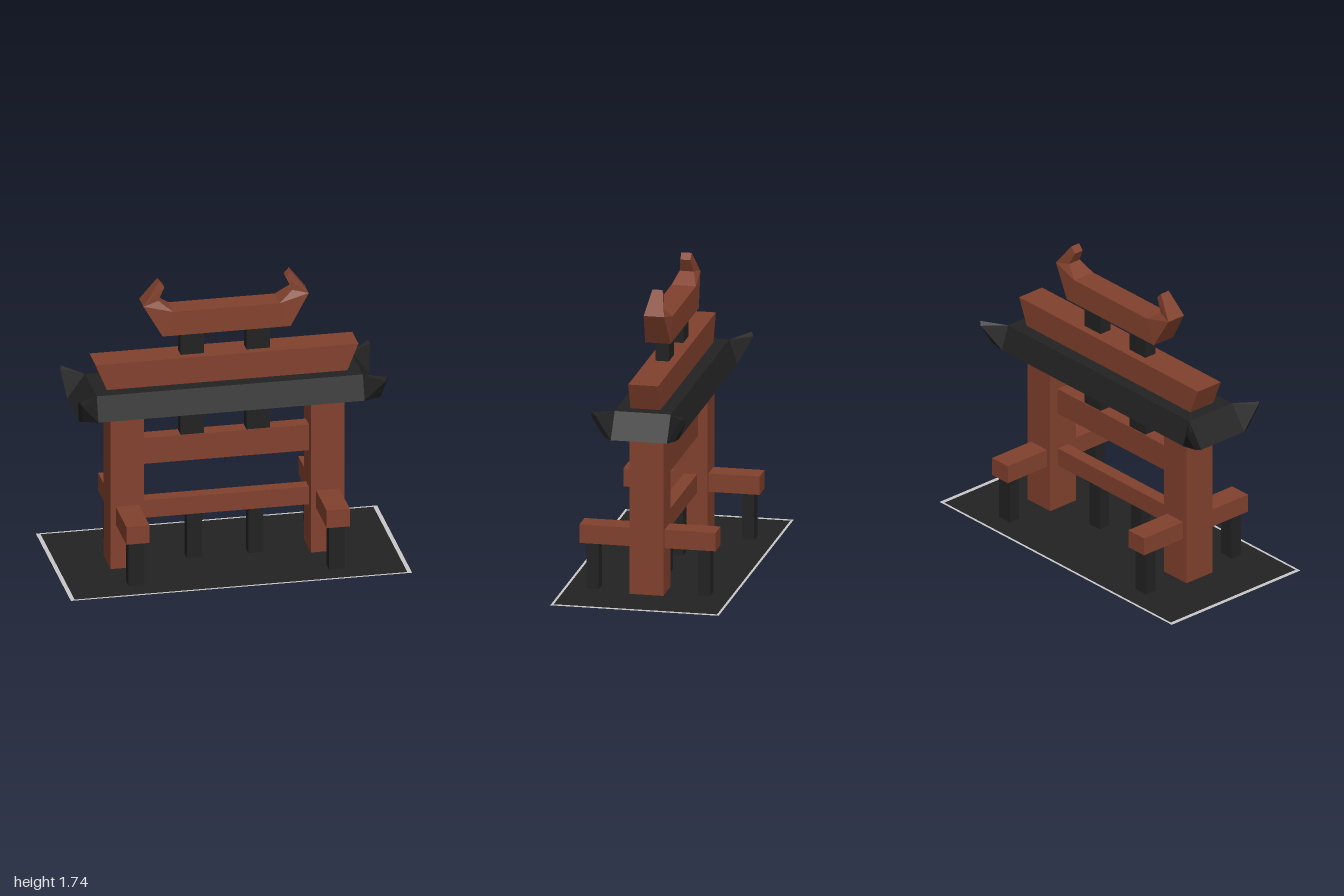
import * as THREE from 'three';
import { ConvexGeometry } from 'three/addons/geometries/ConvexGeometry.js';

export function createModel() {
  const group = new THREE.Group();
  const mat = (name, color, side = THREE.FrontSide) => {
    const m = new THREE.MeshStandardMaterial({ color, side, flatShading: true });
    m.name = name;
    return m;
  };
  const red = mat('red wood', 0x82412d);
  const black = mat('black', 0x222222, THREE.DoubleSide);
  const grey = mat('light grey', 0xc8c8c8, THREE.DoubleSide);

  const add = (name, geometry, material) => {
    const mesh = new THREE.Mesh(geometry, material);
    mesh.name = name;
    group.add(mesh);
    return mesh;
  };
  // box from centre x, z, half sizes and a y range
  const box = (name, material, x, z, hx, hz, y0, y1) => {
    const mesh = add(name, new THREE.BoxGeometry(hx * 2, y1 - y0, hz * 2), material);
    mesh.position.set(x, (y0 + y1) / 2, z);
  };
  const hull = (points) => new ConvexGeometry(points.map((p) => new THREE.Vector3(...p)));

  // Ground sheet with a narrow border
  const rect = (w, d, C) => new C([[-w, -d], [w, -d], [w, d], [-w, d]].map((p) => new THREE.Vector2(...p)));
  const border = rect(1, 0.495, THREE.Shape);
  border.holes.push(rect(0.975, 0.48, THREE.Path));
  add('groundBorder', new THREE.ShapeGeometry(border).rotateX(-Math.PI / 2), grey);
  add('ground', new THREE.PlaneGeometry(1.95, 0.96).rotateX(-Math.PI / 2), black);

  // Pillars, side braces and all small posts, mirrored
  const y0 = 0.003;
  for (const s of [-1, 1]) {
    box('pillar', red, s * 0.587, 0, 0.098, 0.1, y0, 0.975);
    box('lowPost', black, s * 0.18, 0, 0.045, 0.035, y0, 0.28);
    box('roofPost', black, s * 0.193, 0, 0.069, 0.039, 0.78, 1.42);
    for (const t of [-1, 1]) {
      box('brace', red, s * 0.587, t * 0.25, 0.068, 0.15, 0.28, 0.39);
      box('bracePost', black, s * 0.587, t * 0.328, 0.047, 0.035, y0, 0.28);
    }
  }

  // Cross beams between the pillars
  box('lowerBeam', red, 0, 0, 0.49, 0.04, 0.28, 0.39);
  box('upperBeam', red, 0, 0, 0.49, 0.045, 0.62, 0.78);

  // Roof: sloping core with flared corners
  const core = [];
  for (const s of [-1, 1]) for (const t of [-1, 1]) {
    const flip = ([x, y, z]) => [s * x, y, t * z];
    const root = [[0.78, 1.12, 0.165], [0.78, 0.975, 0.212], [0.885, 0.975, 0.165]].map(flip);
    const tip = [[0.9, 1.14, 0.272], [0.888, 1.115, 0.28], [0.908, 1.125, 0.25]].map(flip);
    const heel = flip([0.872, 0.985, 0.205]);
    core.push(...root);
    add('roofCorner', hull([...root, ...tip, heel]), black);
  }
  add('roof', hull(core), black);

  // Ridge beam, wider at the top
  const ridge = new THREE.Shape([[-0.705, 1.12], [0.705, 1.12], [0.77, 1.28], [-0.77, 1.28]]
    .map((p) => new THREE.Vector2(...p)));
  add('ridgeBeam', new THREE.ExtrudeGeometry(ridge, { depth: 0.176, bevelEnabled: false })
    .translate(0, 0, -0.088), red);

  // Horned top beam: convex segments between cross-sections
  // each section: outer x, y, half depth, inner x, y, half depth
  const sections = [
    [0.375, 1.42, 0.075, 0.312, 1.567, 0.072],
    [0.485, 1.61, 0.06, 0.393, 1.63, 0.04],
    [0.386, 1.743, 0.03, 0.355, 1.708, 0.03],
  ];
  const corners = ([ox, oy, oz, ix, iy, iz], s) => [
    [s * ox, oy, oz], [s * ox, oy, -oz], [s * ix, iy, iz], [s * ix, iy, -iz],
  ];
  add('topBeam', hull([...corners(sections[0], -1), ...corners(sections[0], 1)]), red);
  for (const s of [-1, 1]) for (let i = 0; i < 2; i++) {
    add(i ? 'hornTip' : 'hornBase', hull([...corners(sections[i], s), ...corners(sections[i + 1], s)]), red);
  }
  return group;
}
